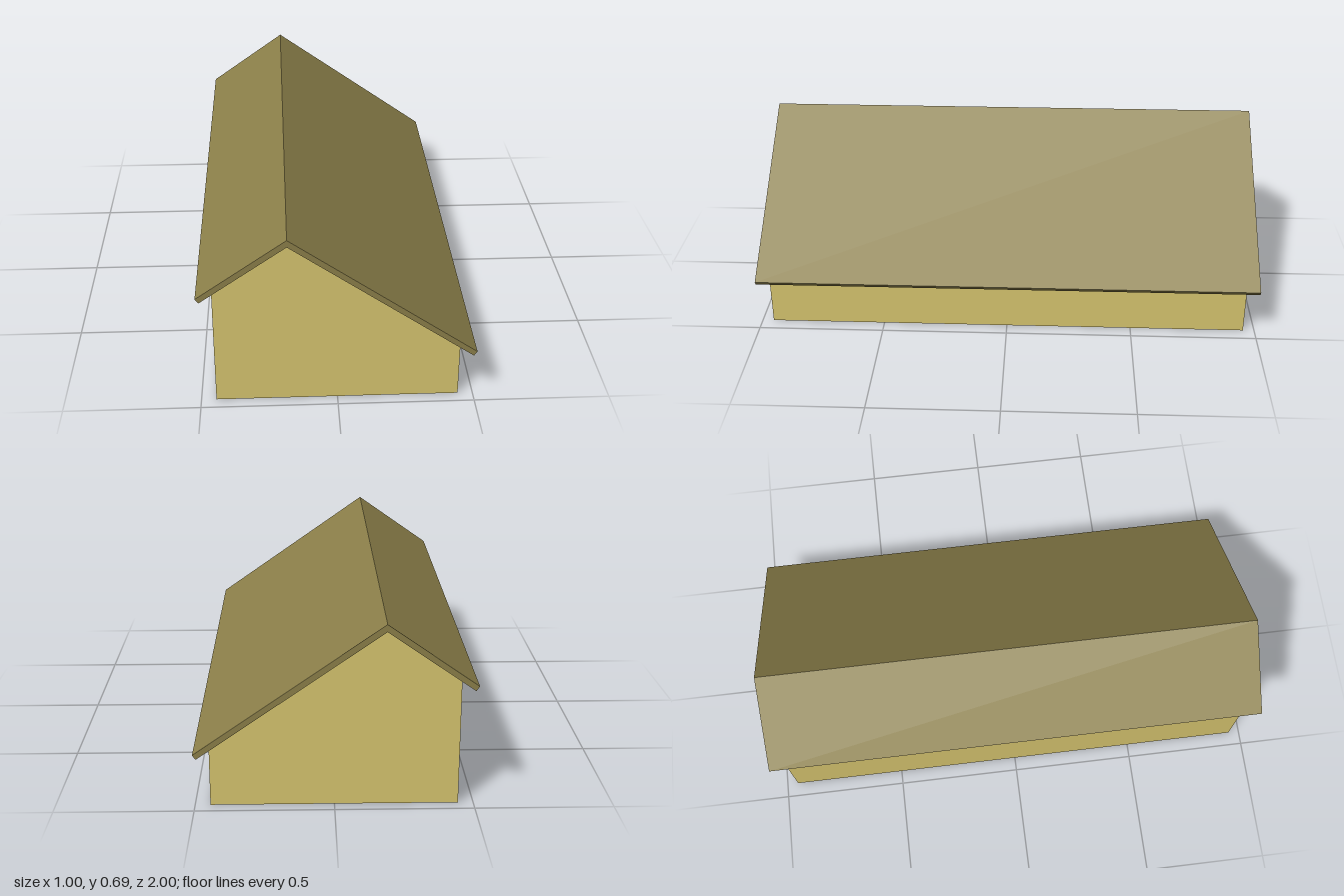
import * as THREE from 'three';

// Extrudes an outline in the xy plane, centred along z
function prism(name, points, length, color) {
  const shape = new THREE.Shape(points.map(([x, y]) => new THREE.Vector2(x, y)));
  const geometry = new THREE.ExtrudeGeometry(shape, { depth: length, bevelEnabled: false });
  geometry.translate(0, 0, -length / 2);
  const mesh = new THREE.Mesh(geometry, new THREE.MeshStandardMaterial({ color }));
  mesh.name = name;
  return mesh;
}

export function createModel() {
  const group = new THREE.Group();
  group.name = 'house';

  // Walls with an off-centre gable, closed underneath
  group.add(prism('walls', [
    [-0.445, 0], [0.445, 0], [0.445, 0.227], [-0.178, 0.665], [-0.445, 0.477],
  ], 1.91, 0xd8c670));

  // Thin roof with two unequal slopes, overhanging on every side
  group.add(prism('roof', [
    [-0.5, 0.465], [-0.488, 0.448], [-0.178, 0.665],
    [0.488, 0.198], [0.5, 0.215], [-0.178, 0.692],
  ], 2, 0x8c804a));

  // Dark floor panel under the walls, leaving a narrow strip along one side
  const floor = new THREE.Mesh(
    new THREE.PlaneGeometry(0.85, 1.91).rotateX(Math.PI / 2),
    new THREE.MeshStandardMaterial({ color: 0x888888 }),
  );
  floor.name = 'floor';
  floor.position.set(0.02, -0.001, 0);
  group.add(floor);

  return group;
}
